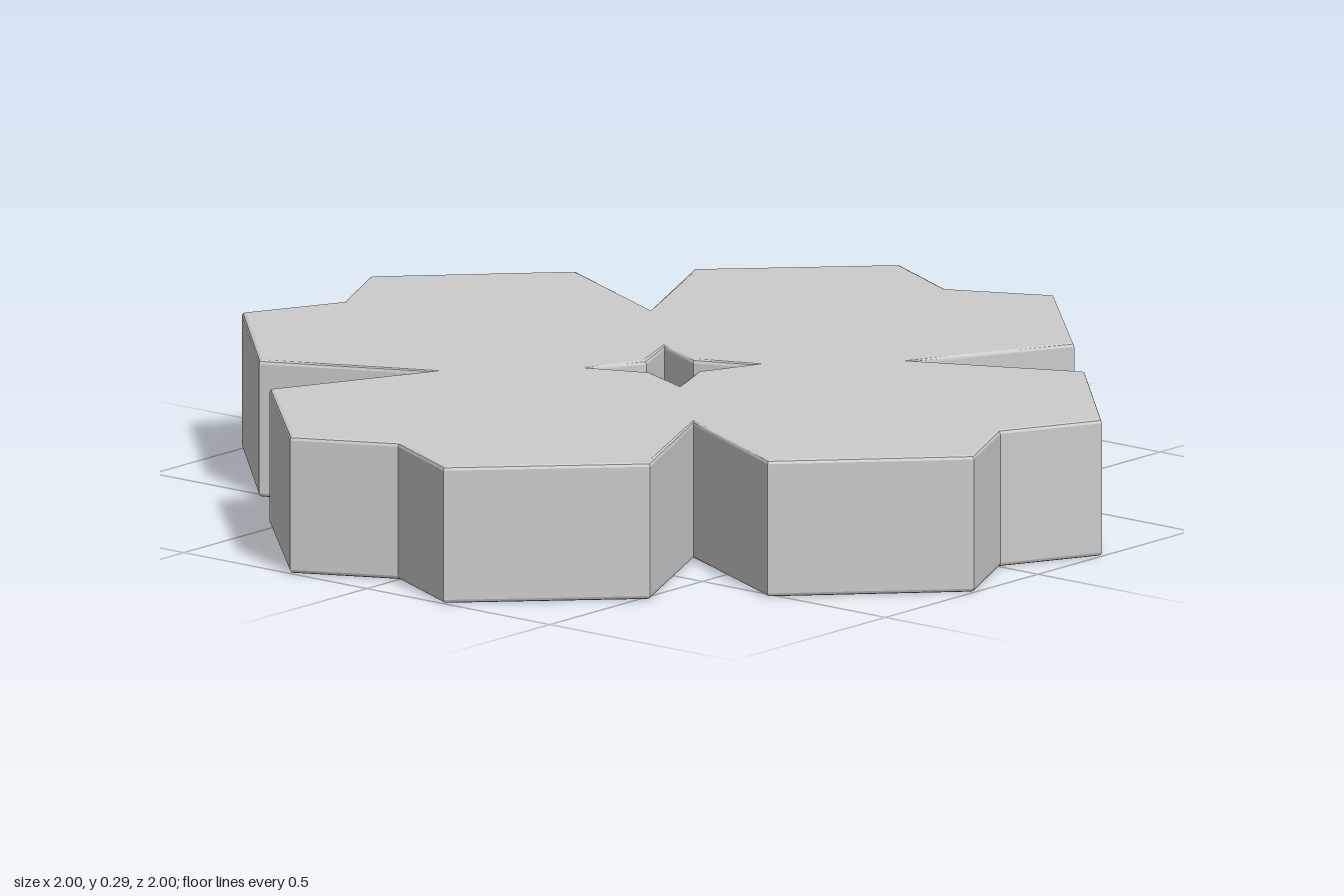
import * as THREE from 'three';

const HEIGHT = 0.295;
const BEVEL = 0.008;

// Repeats one quarter of an outline four times around the centre
function fourfold(quarter) {
  const points = [];
  for (let k = 0; k < 4; k++) {
    for (const [x, y] of quarter) {
      points.push(new THREE.Vector2(x, y).rotateAround(new THREE.Vector2(), k * Math.PI / 2));
    }
  }
  return points;
}

export function createModel() {
  const group = new THREE.Group();
  group.name = 'fourPetalTile';

  // One petal with a notched tip, starting at the cleft between petals
  const outline = new THREE.Shape(fourfold([
    [0.355, 0.355], [0.52, 0.695], [0.21, 1], [0, 0.897], [-0.21, 1], [-0.52, 0.695],
  ]));

  // Four-pointed star hole through the middle
  outline.holes.push(new THREE.Path(fourfold([[0.125, 0.125], [0, 0.07]]).reverse()));

  // Slab with finely rounded rims, laid flat on the ground
  const geometry = new THREE.ExtrudeGeometry(outline, {
    depth: HEIGHT - 2 * BEVEL,
    bevelEnabled: true,
    bevelThickness: BEVEL,
    bevelSize: BEVEL,
    bevelOffset: -BEVEL,
    bevelSegments: 2,
  });
  geometry.translate(0, 0, BEVEL);
  geometry.rotateX(-Math.PI / 2);

  const tile = new THREE.Mesh(geometry, new THREE.MeshStandardMaterial({ color: 0xcccccc }));
  tile.name = 'petalSlab';
  group.add(tile);
  return group;
}
